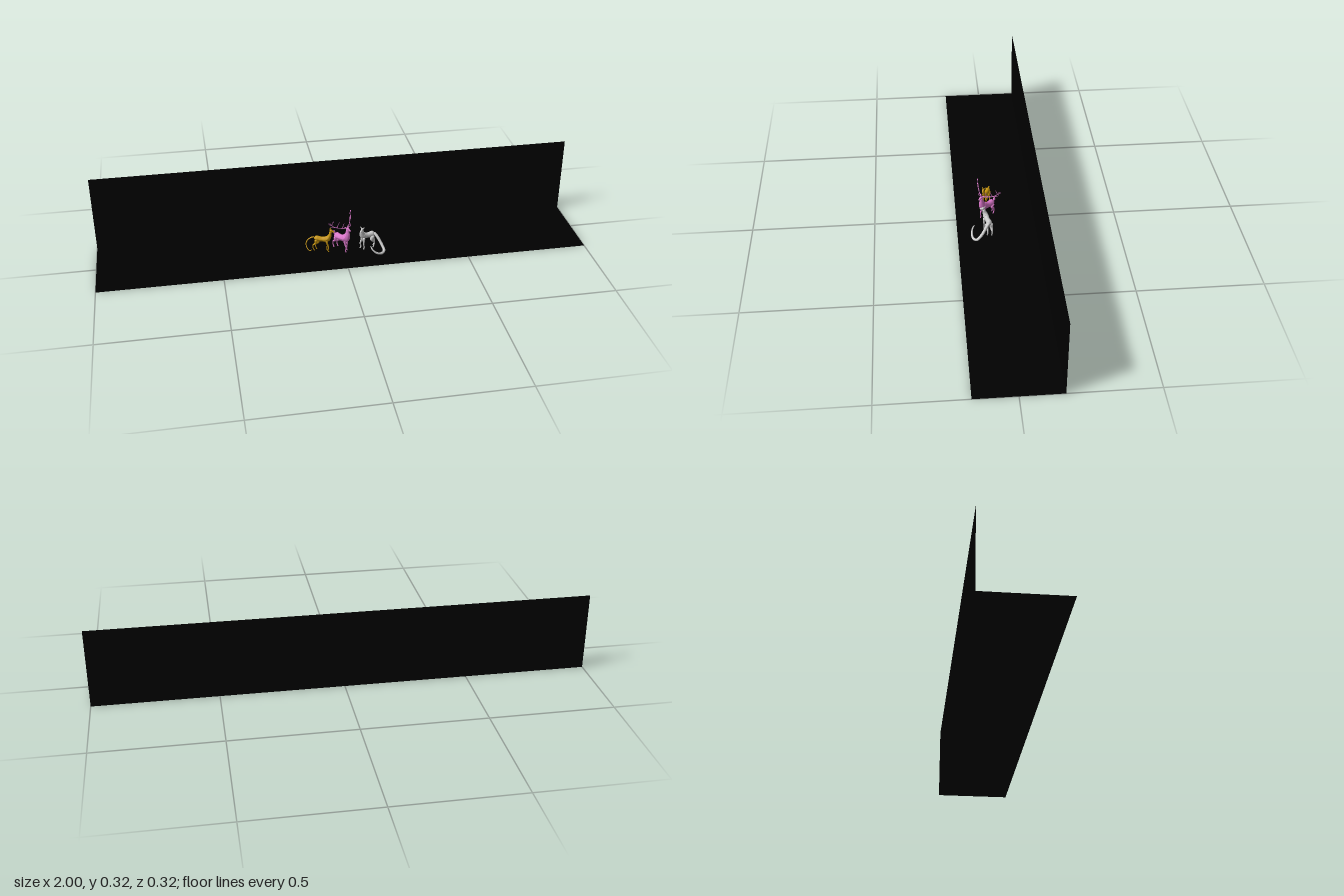
import * as THREE from 'three';

const mat = (color, side = THREE.FrontSide) => new THREE.MeshStandardMaterial({ color, side });

// Round-ended tapered tube through points [x, y, z, radius]; squash narrows it sideways
function limb(parent, name, material, pts, { sides = 10, segs = 28, squash = 1 } = {}) {
  const curve = new THREE.CatmullRomCurve3(pts.map(p => new THREE.Vector3(p[0], p[1], p[2])));
  const geo = new THREE.TubeGeometry(curve, segs, 1, sides);
  const pos = geo.attributes.position, v = new THREE.Vector3(), len = curve.getLength();
  for (let i = 0; i <= segs; i++) {
    const u = i / segs, c = curve.getPointAt(u);
    const t = curve.getUtoTmapping(u) * (pts.length - 1);
    const k = Math.min(Math.floor(t), pts.length - 2);
    let r = THREE.MathUtils.lerp(pts[k][3], pts[k + 1][3], t - k);
    const d = Math.min(1, Math.min(u, 1 - u) * len / r);
    r *= Math.max(0.03, Math.sqrt(1 - (1 - d) ** 2));
    for (let j = 0; j <= sides; j++) {
      const n = i * (sides + 1) + j;
      v.fromBufferAttribute(pos, n).sub(c).multiplyScalar(r);
      v.z *= squash;
      v.add(c);
      pos.setXYZ(n, v.x, v.y, v.z);
    }
  }
  geo.computeVertexNormals();
  const mesh = new THREE.Mesh(geo, material);
  mesh.name = name;
  parent.add(mesh);
  return mesh;
}

// Four legs: straight front pair, hocked hind pair; the animal faces +x
function legs(parent, m, front, hind, top, w, r) {
  for (const s of [-1, 1]) {
    const step = s * 0.004;
    limb(parent, 'frontLeg', m, [
      [front - 0.003, top, s * w, r * 2], [front + step * 0.5, top * 0.72, s * w, r * 1.4],
      [front + 0.002 + step, 0.036, s * w, r], [front + step, 0.018, s * w, r * 0.8],
      [front + 0.004 + step, 0.0115, s * w, r * 1.1]]);
    limb(parent, 'hindLeg', m, [
      [hind + 0.003, top + 0.002, s * w, r * 3], [hind + 0.006 - step, top * 0.75, s * w, r * 2.2],
      [hind - 0.006 - step, 0.036, s * w, r], [hind - 0.003 - step, 0.018, s * w, r * 0.8],
      [hind + 0.001 - step, 0.0115, s * w, r * 1.1]]);
  }
}

// Head with muzzle and two ears, facing +x before its turn
function head(parent, m, x, y, z, turn, ear, size = 1) {
  const g = new THREE.Group();
  g.name = 'head';
  limb(g, 'skull', m, [[-0.007, 0.001, 0, 0.006], [0, 0.001, 0, 0.0066],
    [0.008, -0.003, 0, 0.0045], [0.016, -0.006, 0, 0.003]], { squash: 0.85 });
  for (const s of [-1, 1]) {
    limb(g, 'ear', m, [[-0.004, 0.004, s * 0.004, 0.0018], [-0.005, 0.007, s * 0.0065, 0.0026],
      [-0.006, 0.005 + ear, s * 0.009, 0.0006]], { segs: 10, sides: 8 });
  }
  g.position.set(x, y, z);
  g.rotation.y = turn;
  g.scale.setScalar(size);
  parent.add(g);
  return g;
}

function animal(name, x, z, turn) {
  const g = new THREE.Group();
  g.name = name;
  g.position.set(x, 0, z);
  g.rotation.y = turn;
  return g;
}

function goldDoe() {
  const g = animal('goldDoe', -0.085, 0.031, -0.38), m = mat(0xc8960c);
  limb(g, 'body', m, [[-0.035, 0.07, 0, 0.008], [-0.025, 0.069, 0, 0.0125], [0, 0.067, 0, 0.0105],
    [0.02, 0.071, 0, 0.013], [0.03, 0.084, 0, 0.0085], [0.034, 0.098, 0, 0.0055],
    [0.036, 0.112, 0, 0.0055]], { squash: 0.8 });
  head(g, m, 0.037, 0.111, 0, 0, 0.007, 0.9);
  legs(g, m, 0.022, -0.028, 0.064, 0.006, 0.0024);
  limb(g, 'tail', m, [[-0.034, 0.074, 0, 0.003], [-0.05, 0.068, 0.002, 0.0025],
    [-0.065, 0.05, 0.009, 0.002], [-0.06, 0.03, 0.02, 0.0018],
    [-0.046, 0.023, 0.028, 0.0015], [-0.036, 0.03, 0.03, 0.001]], { segs: 40 });
  return g;
}

function pinkStag() {
  const g = animal('pinkStag', -0.003, 0.035, -0.88), m = mat(0xdd78cc);
  limb(g, 'body', m, [[-0.042, 0.068, 0, 0.009], [-0.03, 0.067, 0, 0.016], [-0.004, 0.067, 0, 0.0135],
    [0.02, 0.075, 0, 0.018], [0.028, 0.092, 0, 0.0125], [0.029, 0.107, 0, 0.008],
    [0.029, 0.122, 0, 0.0065]], { squash: 0.8 });
  head(g, m, 0.03, 0.121, 0, 0, 0.006);
  legs(g, m, 0.022, -0.033, 0.064, 0.008, 0.0026);
  limb(g, 'tail', m, [[-0.038, 0.07, 0, 0.003], [-0.043, 0.077, 0, 0.0055], [-0.044, 0.087, 0, 0.002]],
    { segs: 14 });
  // Antlers: a swept beam with upright tines on each side
  const beam = [[0.028, 0.126, 0.004], [0.019, 0.13, 0.022], [0.006, 0.136, 0.042],
    [-0.006, 0.149, 0.058], [-0.01, 0.166, 0.067]];
  const tines = [[0, [0.04, 0.138, 0.006], [0.041, 0.149, 0.007]], [1, [0.023, 0.14, 0.021], [0.025, 0.153, 0.016]],
    [2, [0.012, 0.147, 0.041], [0.016, 0.162, 0.036]], [2, [-0.002, 0.139, 0.053], [-0.008, 0.146, 0.066]],
    [3, [-0.004, 0.158, 0.056], [0.001, 0.169, 0.051]], [3, [-0.012, 0.153, 0.064], [-0.016, 0.162, 0.071]]];
  for (const s of [-1, 1]) {
    const a = new THREE.Group();
    a.name = 'antler';
    const at = (p, r) => [p[0], p[1], p[2] * s, r];
    limb(a, 'antlerBeam', m, beam.map((p, i) => at(p, 0.0024 - i * 0.0004)), { sides: 7 });
    for (const [i, mid, tip] of tines) {
      limb(a, 'tine', m, [at(beam[i], 0.0016), at(mid, 0.0013), at(tip, 0.0006)], { sides: 6, segs: 12 });
    }
    g.add(a);
  }
  return g;
}

function greyCat() {
  const g = animal('greyCat', 0.1, 0.04, Math.PI + 0.25), m = mat(0xcccccc);
  limb(g, 'body', m, [[-0.036, 0.074, 0, 0.009], [-0.025, 0.073, 0, 0.014], [0, 0.072, 0, 0.0115],
    [0.018, 0.077, 0, 0.0145], [0.025, 0.09, -0.003, 0.01], [0.026, 0.1, -0.006, 0.0075],
    [0.027, 0.109, -0.008, 0.0065]], { squash: 0.85 });
  head(g, m, 0.027, 0.109, -0.009, 0.75, 0.006, 0.95);
  legs(g, m, 0.02, -0.028, 0.068, 0.008, 0.0031);
  return g;
}

export function createModel() {
  const root = new THREE.Group();
  root.name = 'animalDisplay';

  // Thin black floor and back wall
  const black = mat(0x000000, THREE.DoubleSide);
  const floor = new THREE.Mesh(new THREE.PlaneGeometry(2, 0.325), black);
  floor.name = 'floor';
  floor.rotation.x = -Math.PI / 2;
  const wall = new THREE.Mesh(new THREE.PlaneGeometry(2, 0.325), black);
  wall.name = 'backWall';
  wall.position.set(0, 0.1625, -0.1625);
  root.add(floor, wall);

  root.add(goldDoe(), pinkStag(), greyCat());

  // Long curling tail of the grey cat
  limb(root, 'catTail', mat(0xcccccc), [[0.13, 0.079, 0.034, 0.006], [0.143, 0.063, 0.048, 0.0062],
    [0.157, 0.037, 0.067, 0.006], [0.163, 0.02, 0.086, 0.0055], [0.15, 0.016, 0.1, 0.005],
    [0.126, 0.024, 0.105, 0.004], [0.11, 0.04, 0.1, 0.003], [0.105, 0.051, 0.092, 0.0015]],
    { segs: 56, sides: 12 });
  return root;
}
